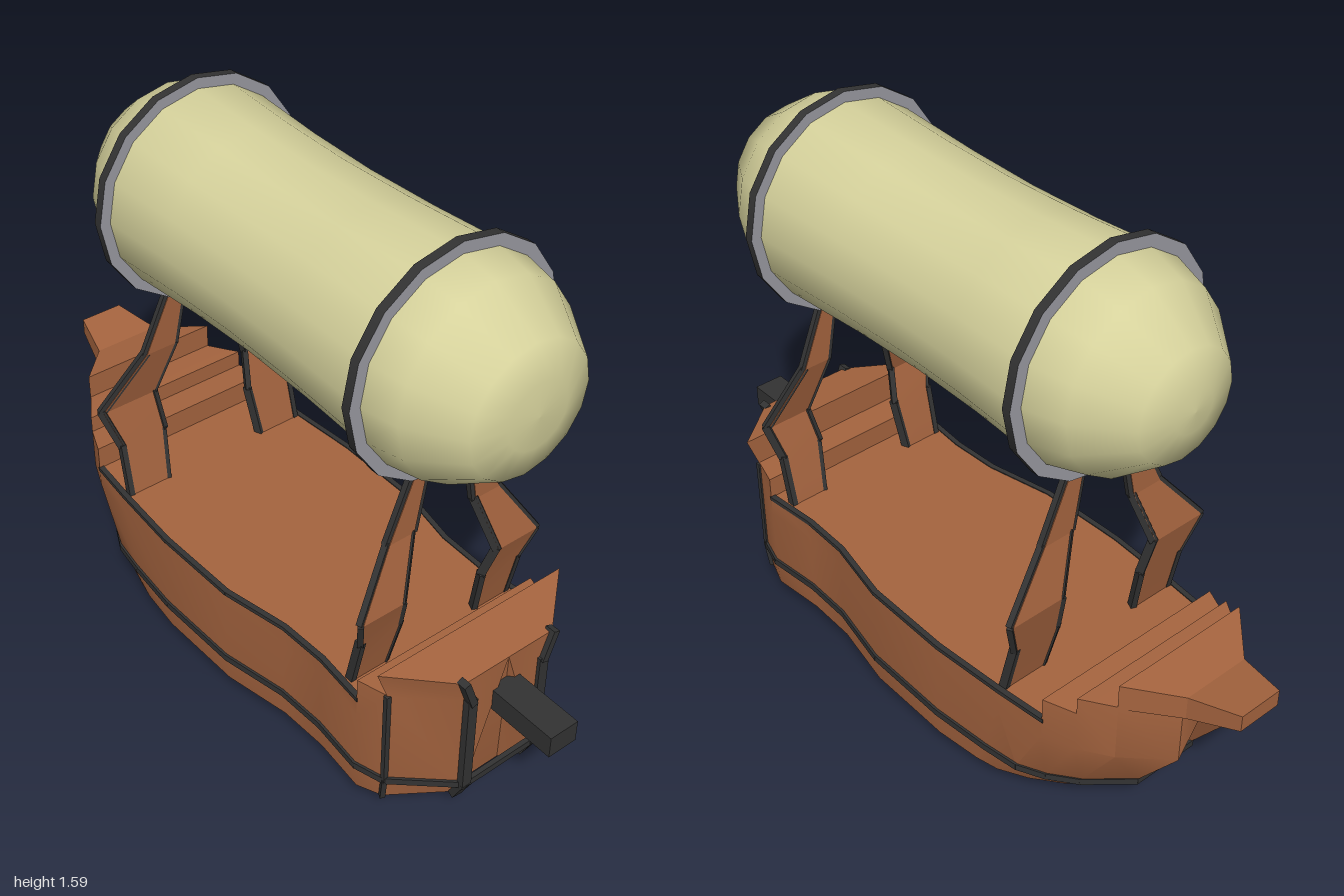
import * as THREE from 'three';
import { toCreasedNormals } from 'three/addons/utils/BufferGeometryUtils.js';

const wood = new THREE.MeshStandardMaterial({ color: 0xa5643f });
const dark = new THREE.MeshStandardMaterial({ color: 0x333333 });
const cloth = new THREE.MeshStandardMaterial({ color: 0xd6d29c });
const steel = new THREE.MeshStandardMaterial({ color: 0x9a9aa2 });
const V = (x, y, z) => new THREE.Vector3(x, y, z);
const ramp = (z, from, to) => THREE.MathUtils.clamp((z - from) / (to - from), 0, 1);

function add(parent, name, geometry, material) {
  const mesh = new THREE.Mesh(geometry, material);
  mesh.name = name;
  parent.add(mesh);
  return mesh;
}

// Skin a list of closed rings, with a fan cap at each end
function loft(rings, crease) {
  const pos = [];
  const tri = (a, b, c) => {
    const area = b.clone().sub(a).cross(c.clone().sub(a)).length();
    if (area > 1e-8) for (const p of [a, b, c]) pos.push(p.x, p.y, p.z);
  };
  const n = rings[0].length;
  for (let i = 0; i < rings.length - 1; i++) {
    for (let j = 0; j < n; j++) {
      const k = (j + 1) % n;
      tri(rings[i][j], rings[i + 1][j], rings[i][k]);
      tri(rings[i][k], rings[i + 1][j], rings[i + 1][k]);
    }
  }
  const first = rings[0], last = rings[rings.length - 1];
  for (let j = 1; j < n - 1; j++) {
    tri(first[0], first[j], first[j + 1]);
    tri(last[0], last[j + 1], last[j]);
  }
  const g = new THREE.BufferGeometry();
  g.setAttribute('position', new THREE.Float32BufferAttribute(pos, 3));
  return toCreasedNormals(g, crease);
}

// Run of thin bars along a polyline
function trim(parent, name, points, width, height) {
  const group = new THREE.Group();
  group.name = name;
  for (let i = 0; i < points.length - 1; i++) {
    const length = points[i].distanceTo(points[i + 1]);
    if (length < 1e-4) continue;
    const bar = add(group, name + 'Bar', new THREE.BoxGeometry(width, height, length + width * 0.4), dark);
    bar.position.copy(points[i]).lerp(points[i + 1], 0.5);
    bar.lookAt(points[i + 1]);
  }
  parent.add(group);
}

// Hull stations, stern to bow: z, half width, top y (a repeated z makes a step)
const stations = [
  [0.8, 0.12, 0.525], [0.665, 0.27, 0.545], [0.665, 0.27, 0.455], [0.58, 0.295, 0.455],
  [0.58, 0.295, 0.39], [0.42, 0.28, 0.39], [0.27, 0.285, 0.39], [0.07, 0.325, 0.39],
  [-0.2, 0.33, 0.39], [-0.42, 0.315, 0.39], [-0.57, 0.3, 0.39], [-0.57, 0.3, 0.46],
  [-0.655, 0.265, 0.455], [-0.655, 0.265, 0.505], [-0.74, 0.21, 0.505], [-0.85, 0.1, 0.49],
];

// Points of one side, top edge to keel: the stern flares, the bow rakes back and both ends lift
function sidePoints([z, w, top], s) {
  const stern = ramp(z, 0.58, 0.8), bow = ramp(z, -0.57, -0.85), rake = ramp(z, -0.27, -0.57);
  const flare = stern > 0 ? Math.max(0, top - 0.455) * 0.39 : 0;
  return [
    V(s * (w + flare), top, z),
    V(s * w, stern > 0 ? 0.45 : 0.33, z),
    V(s * w, 0.15, z + 0.09 * rake + 0.04 * bow),
    V(s * w * 0.98, 0.065 + 0.025 * stern + 0.035 * bow, z + 0.17 * rake - 0.03 * stern),
    V(s * (0.12 - 0.04 * stern - 0.07 * bow), 0.04 * stern ** 1.5 + 0.08 * bow ** 1.5,
      z + 0.17 * rake - 0.08 * ramp(z, 0.42, 0.8)),
  ];
}

function buildHull(model) {
  const rings = stations.map((st) => {
    const left = sidePoints(st, 1), right = sidePoints(st, -1);
    return [V(0, st[2], st[0]), ...right, V(0, left[4].y, left[4].z), ...left.reverse()];
  });
  add(model, 'hull', loft(rings, 0.5), wood);

  // Belt right round the hull
  const belt = (s) => stations.map((st) => sidePoints(st, s)[2]);
  const loop = [...belt(1), ...belt(-1).reverse()];
  trim(model, 'belt', [...loop, loop[0]], 0.014, 0.02);

  for (const s of [1, -1]) {
    // Deck edging
    trim(model, 'gunwale', stations.slice(4, 11).map(([z, w]) => V(s * (w - 0.006), 0.387, z)), 0.016, 0.012);
    // Upright stern straps
    trim(model, 'sternStrap', sidePoints(stations[0], s).slice(0, 4), 0.03, 0.02);
    trim(model, 'sternStrap', sidePoints(stations[1], s).slice(1, 4), 0.014, 0.014);
  }

  // Bowsprit platform: z, half width, top, bottom
  const prow = [[-0.74, 0.212, 0.577, 0.5], [-0.86, 0.1, 0.555, 0.485], [-1, 0.065, 0.577, 0.528]];
  add(model, 'prow', loft(prow.map(([z, w, t, b]) => [V(w, t, z), V(-w, t, z), V(-w, b, z), V(w, b, z)]), 0.1), wood);

  // Stern pipe
  add(model, 'sternPipe', new THREE.BoxGeometry(0.09, 0.065, 0.22), dark).position.set(0, 0.405, 0.89);
}

// Bent plate strut; rows are y, inner x, outer x, z
function buildStrut(model, name, rows, s) {
  const t = 0.01;
  const rings = rows.map(([y, a, b, z]) => {
    const ring = [V(s * a, y, z - t), V(s * b, y, z - t), V(s * b, y, z + t), V(s * a, y, z + t)];
    return s > 0 ? ring : ring.reverse();
  });
  add(model, name, loft(rings, 0.1), wood);
  for (const side of [1, 2]) {
    trim(model, name + 'Edge', rows.map((r) => V(s * r[side], r[0], r[3])), 0.016, 0.024);
  }
}

function buildBalloon(model) {
  const balloon = new THREE.Group();
  balloon.name = 'balloon';
  balloon.position.y = 1.272;
  model.add(balloon);

  // Gas bag: radius, z
  const profile = [
    [0, -0.72], [0.06, -0.715], [0.15, -0.69], [0.25, -0.565], [0.286, -0.44], [0.272, -0.2], [0.267, 0.02],
    [0.272, 0.25], [0.286, 0.54], [0.265, 0.655], [0.18, 0.79], [0.09, 0.815], [0, 0.82],
  ].map(([r, z]) => new THREE.Vector2(r, z));
  add(balloon, 'gasBag', new THREE.LatheGeometry(profile, 16).rotateX(Math.PI / 2), cloth);

  // Hoops with steel faces
  for (const z of [0.54, -0.442]) {
    const rim = new THREE.CylinderGeometry(0.315, 0.315, 0.026, 16, 1, true).rotateX(Math.PI / 2);
    add(balloon, 'hoopRim', rim, dark).position.z = z;
    for (const f of [1, -1]) {
      const face = new THREE.RingGeometry(0.265, 0.315, 16);
      if (f < 0) face.rotateY(Math.PI);
      add(balloon, 'hoopFace', face, steel).position.z = z + f * 0.013;
    }
  }
}

export function createModel() {
  const model = new THREE.Group();
  model.name = 'airship';
  buildHull(model);
  buildBalloon(model);
  const front = [
    [0.38, 0.155, 0.262, 0.515], [0.54, 0.14, 0.262, 0.55], [0.64, 0.155, 0.288, 0.58],
    [0.81, 0.1, 0.178, 0.54], [0.99, 0.068, 0.105, 0.54],
  ];
  const rear = [
    [0.38, 0.165, 0.292, -0.42], [0.54, 0.15, 0.288, -0.455], [0.66, 0.16, 0.328, -0.482],
    [0.82, 0.105, 0.197, -0.447], [0.99, 0.072, 0.118, -0.442],
  ];
  for (const s of [1, -1]) {
    buildStrut(model, 'frontStrut', front, s);
    buildStrut(model, 'rearStrut', rear, s);
  }
  return model;
}
